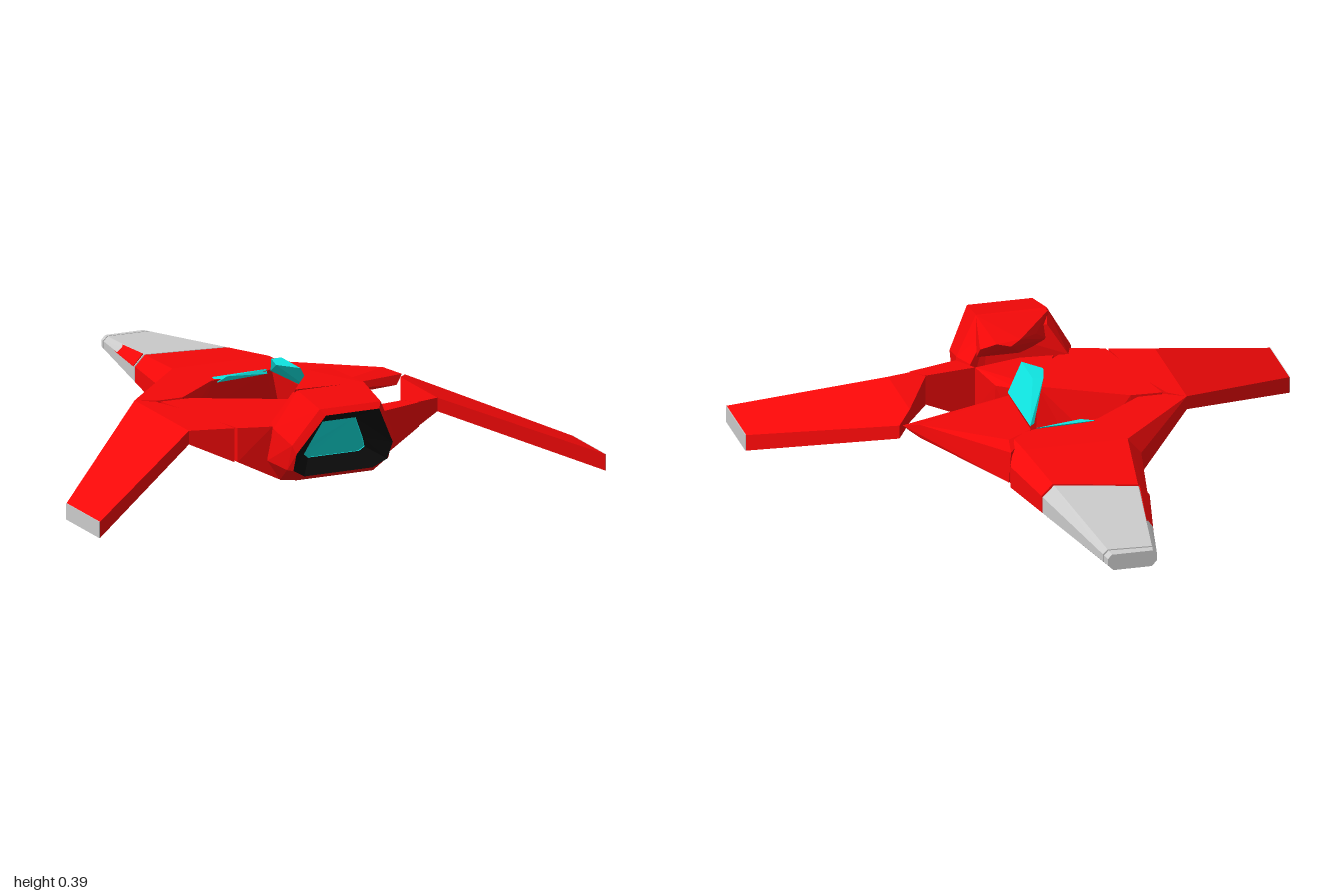
import * as THREE from 'three';
import { ConvexGeometry } from 'three/addons/geometries/ConvexGeometry.js';

const paint = (color) => new THREE.MeshStandardMaterial({ color, flatShading: true, side: THREE.DoubleSide });
const red = paint(0xf50808), grey = paint(0xcccccc), black = paint(0x0c0c0c), cyan = paint(0x0fe4e0);

export function createModel() {
  const ship = new THREE.Group();
  ship.name = 'brokenStarfighter';

  function add(name, geometry, material) {
    const mesh = new THREE.Mesh(geometry, material);
    mesh.name = name;
    ship.add(mesh);
  }
  // solid shard spanning a set of corner points
  const shard = (name, material, pts) =>
    add(name, new ConvexGeometry(pts.map((p) => new THREE.Vector3(...p))), material);
  // closed ring from its +x half, listed top to bottom
  const ring = (half) => [...half, ...half.slice().reverse().map(([x, y, z]) => [-x, y, z])];
  // skin between rings, optionally capping the last one
  function loft(name, material, rings, cap) {
    const n = rings[0].length, index = [];
    for (let r = 0; r + 1 < rings.length; r++) {
      for (let i = 0; i < n; i++) {
        const a = r * n + i, b = r * n + (i + 1) % n;
        index.push(a, a + n, b, b, a + n, b + n);
      }
    }
    const last = (rings.length - 1) * n;
    if (cap) for (let i = 1; i + 1 < n; i++) index.push(last, last + i + 1, last + i);
    const g = new THREE.BufferGeometry();
    g.setAttribute('position', new THREE.Float32BufferAttribute(rings.flat(2), 3));
    g.setIndex(index);
    const flat = g.toNonIndexed();
    flat.computeVertexNormals();
    add(name, flat, material);
  }
  // beveled, tapering nose cross-section; skew tilts the cut
  function section(z, skew = 0) {
    const base = (z + 0.93) / 0.78;
    const at = (s, w0, w1, y0, y1) => {
      const x0 = s * THREE.MathUtils.lerp(w0, w1, base);
      const t = base + skew * x0 / 0.78;
      return [s * THREE.MathUtils.lerp(w0, w1, t), THREE.MathUtils.lerp(y0, y1, t), z + skew * x0];
    };
    return [1, -1].flatMap((s) => [
      at(s, 0.075, 0.19, 0.16, 0.25), at(s, 0.09, 0.24, 0.145, 0.19),
      at(s, 0.09, 0.24, 0.12, 0.11), at(s, 0.07, 0.17, 0.1, 0.05),
    ]);
  }

  // nose and front fuselage
  shard('noseTip', grey, [...section(-0.93), ...section(-0.902, 0.05)]);
  shard('nose', grey, [...section(-0.895, 0.05), ...section(-0.447, 0.22)]);
  shard('noseEdgeStrip', red, [
    [-0.08, 0.158, -0.895], [-0.094, 0.142, -0.895], [-0.146, 0.216, -0.48],
    [-0.18, 0.178, -0.48], [-0.144, 0.213, -0.48], [-0.183, 0.172, -0.48],
  ]);
  shard('frontFuselage', red, [
    ...section(-0.437, 0.22), ...section(-0.15),
    [-0.2, 0.25, 0.06], [0.1, 0.25, 0.02], [0.15, 0.25, 0], [0.2, 0.25, -0.05],
    [-0.17, 0.05, 0], [0.15, 0.05, -0.02], [-0.22, 0.11, 0.05], [0.22, 0.14, -0.06],
  ]);

  // broken leading roots of the wings
  shard('rightLeadingRoot', red, [
    [-0.19, 0.25, -0.15], [-0.24, 0.19, -0.15], [-0.24, 0.11, -0.15],
    [-0.49, 0.25, 0.16], [-0.49, 0.2, 0.16], [-0.42, 0.25, 0.2], [-0.42, 0.19, 0.2],
    [-0.32, 0.25, 0.2], [-0.31, 0.17, 0.21], [-0.2, 0.25, 0.1], [-0.22, 0.14, 0.13],
    [-0.12, 0.25, 0.04], [-0.17, 0.06, 0],
  ]);
  shard('leftLeadingRoot', red, [
    [0.15, 0.25, 0], [0.22, 0.25, -0.05], [0.23, 0.23, -0.12], [0.24, 0.12, -0.13],
    [0.49, 0.25, 0.16], [0.49, 0.2, 0.16], [0.54, 0.232, 0.21], [0.51, 0.2, 0.23],
    [0.12, 0.25, 0.33], [0.12, 0.25, 0.02], [0.15, 0.12, 0.01], [0.2, 0.15, 0.13], [0.14, 0.21, 0.31],
  ]);

  // drooping outer wings with grey tip caps
  const tip = (s, x) => [[s * x, 0.06, 0.65], [s * x, 0.06, 0.92], [s * x, 0, 0.65], [s * x, 0, 0.92]];
  shard('rightWing', red, [
    ...tip(-1, 0.997), [-0.49, 0.25, 0.16], [-0.49, 0.25, 0.6], [-0.49, 0.2, 0.16], [-0.49, 0.2, 0.6],
  ]);
  shard('leftWing', red, [
    ...tip(1, 0.997), [0.55, 0.23, 0.215], [0.49, 0.25, 0.3], [0.49, 0.25, 0.6],
    [0.55, 0.18, 0.215], [0.49, 0.2, 0.3], [0.49, 0.2, 0.6],
  ]);
  for (const s of [1, -1]) shard('wingTipCap', grey, [...tip(s, 0.997), ...tip(s, 1)]);

  // inner wing pieces: flat top, underside deepening towards the body
  const slab = (name, outline) => shard(name, red, outline.flatMap(([x, z]) =>
    [[x, 0.25, z], [x, 0.2 - (0.49 - Math.abs(x)) * 0.47, z]]));
  slab('rightWingRoot', [[-0.49, 0.16], [-0.43, 0.21], [-0.36, 0.41], [-0.33, 0.64], [-0.49, 0.6]]);
  slab('leftWingRoot', [[0.49, 0.3], [0.36, 0.57], [0.4, 0.62], [0.49, 0.6]]);
  slab('leftTrailingStrut', [[0.17, 0.6], [0.22, 0.68], [0.405, 0.625], [0.36, 0.575], [0.21, 0.615]]);

  // rear body shards
  shard('rearBodySide', red, [
    [-0.415, 0.25, 0.215], [-0.3, 0.25, 0.22], [0, 0.25, 0.38], [0.01, 0.25, 0.5],
    [-0.2, 0.25, 0.68], [-0.32, 0.25, 0.645], [-0.4, 0.165, 0.23], [-0.3, 0.12, 0.22],
    [-0.18, 0.07, 0.24], [-0.1, 0.05, 0.3], [0, 0.05, 0.4], [0, 0.05, 0.6], [-0.17, 0.05, 0.67], [-0.32, 0.125, 0.645],
  ]);
  shard('rearBodyCore', red, [
    [0, 0.25, 0.38], [0.06, 0.24, 0.39], [0.13, 0.23, 0.47], [0.17, 0.25, 0.6], [-0.15, 0.25, 0.68],
    [0, 0.05, 0.4], [0.07, 0.08, 0.41], [0.13, 0.06, 0.5], [0.17, 0.07, 0.62], [-0.1, 0.05, 0.68],
  ]);

  // engine pod: red shell, black funnel and glowing core
  const rim = ring([[0.105, 0.34, 0.92], [0.19, 0.19, 0.855], [0.185, 0.12, 0.82], [0.135, 0.09, 0.805]]);
  loft('enginePod', red, [
    rim,
    ring([[0.12, 0.36, 0.9], [0.2, 0.22, 0.84], [0.2, 0.12, 0.8], [0.15, 0.07, 0.775]]),
    ring([[0.13, 0.39, 0.74], [0.21, 0.25, 0.71], [0.225, 0.13, 0.69], [0.17, 0.05, 0.68]]),
    ring([[0.11, 0.36, 0.66], [0.18, 0.25, 0.63], [0.19, 0.13, 0.62], [0.14, 0.06, 0.62]]),
  ], true);
  const core = ring([[0.065, 0.285, 0.81], [0.105, 0.2, 0.785], [0.12, 0.16, 0.77], [0.1, 0.145, 0.765]]);
  loft('engineFunnel', black, [rim, core]);
  loft('engineGlow', cyan, [core, core.map(([x, y, z]) => [x, y, z - 0.005])], true);
  shard('podSpine', red, [
    [0.03, 0.385, 0.5], [0.12, 0.38, 0.49], [0.07, 0.37, 0.48], [0.16, 0.33, 0.57], [-0.05, 0.36, 0.59],
    [-0.13, 0.388, 0.72], [0.13, 0.388, 0.74], [-0.12, 0.3, 0.67], [0, 0.28, 0.62], [0.16, 0.28, 0.62],
  ]);

  // canopy shards
  shard('canopyShard', cyan, [
    [0, 0.355, 0.3], [0.06, 0.355, 0.375], [0.06, 0.355, 0.22], [0.02, 0.355, 0.22],
    [0.12, 0.257, 0.34], [0.12, 0.257, 0.03], [0.1, 0.257, 0.05],
  ]);
  shard('canopySliver', cyan, [
    [-0.12, 0.255, 0.025], [0.1, 0.255, 0.015], [-0.11, 0.24, 0.05], [0.1, 0.24, 0.025], [-0.07, 0.257, 0.047],
  ]);

  return ship;
}
